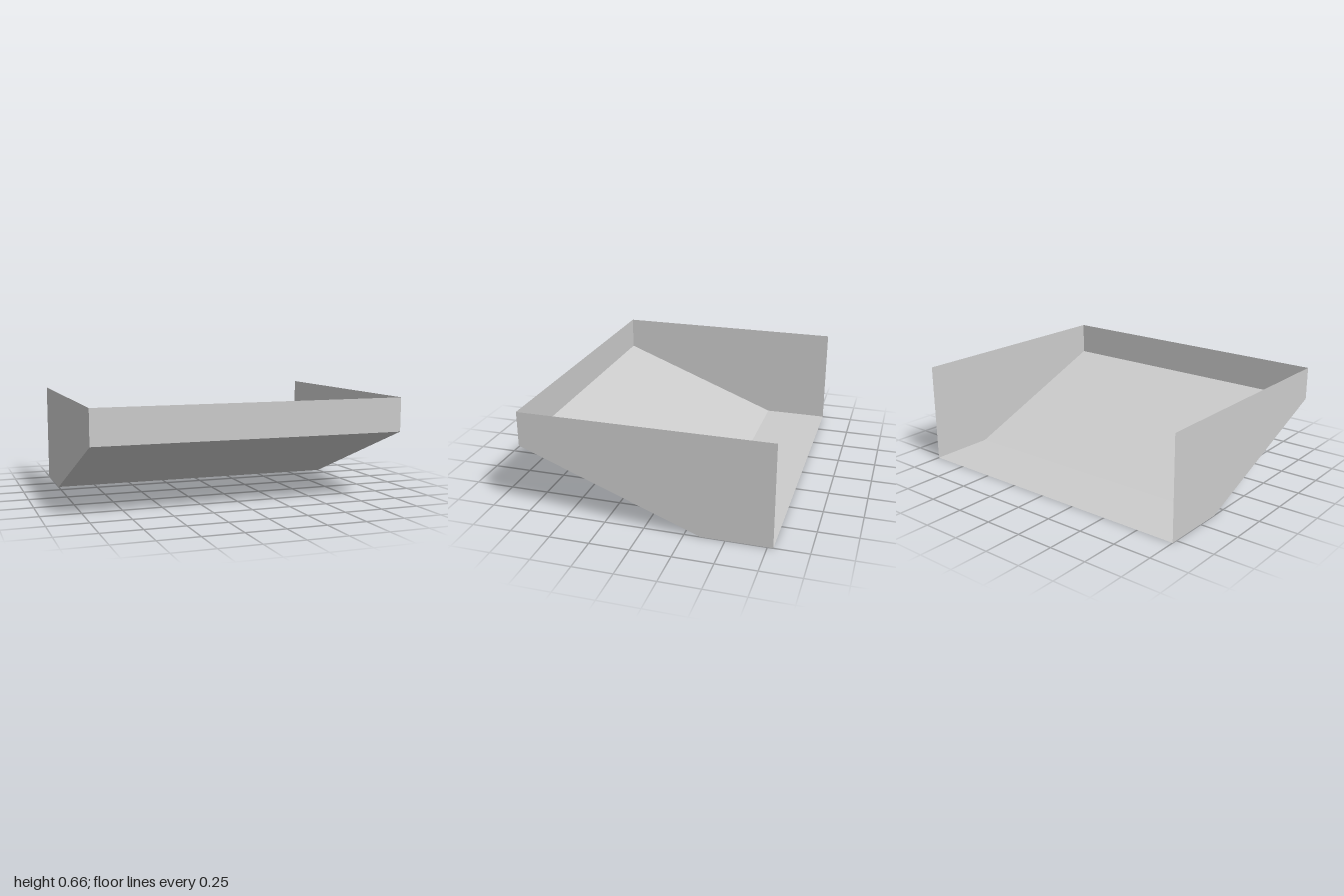
import * as THREE from 'three';

const HALF_WIDTH = 1, HALF_DEPTH = 0.785, HEIGHT = 0.66;
const LIP_Y = 0.44;   // lower edge of the front wall
const BEND_Z = -0.35; // where the sloped floor meets the flat floor

export function createModel() {
  const model = new THREE.Group();
  model.name = 'openScoop';
  const grey = new THREE.MeshStandardMaterial({ color: 0xcccccc, side: THREE.DoubleSide });
  grey.name = 'light grey';

  const add = (name, geometry) => {
    const mesh = new THREE.Mesh(geometry, grey);
    mesh.name = name;
    model.add(mesh);
    return mesh;
  };

  // Full-width sheet spanning two [z, y] profile points
  const sheet = (name, [z0, y0], [z1, y1]) => {
    const mesh = add(name, new THREE.PlaneGeometry(HALF_WIDTH * 2, Math.hypot(z1 - z0, y1 - y0)));
    mesh.position.set(0, (y0 + y1) / 2, (z0 + z1) / 2);
    mesh.rotation.x = Math.atan2(z1 - z0, y1 - y0);
  };

  // Side profile as [z, y], from the front rim down and back, then up the open rear
  const profile = [
    [HALF_DEPTH, HEIGHT], [HALF_DEPTH, LIP_Y], [BEND_Z, 0],
    [-HALF_DEPTH, 0], [-HALF_DEPTH, HEIGHT],
  ];
  ['frontWall', 'slopedFloor', 'flatFloor'].forEach((name, i) =>
    sheet(name, profile[i + 1], profile[i]));

  // Matching side walls, drawn with shape x = -z
  const sideShape = new THREE.Shape(profile.map(([z, y]) => new THREE.Vector2(-z, y)));
  for (const side of [1, -1]) {
    const wall = add(side > 0 ? 'leftWall' : 'rightWall', new THREE.ShapeGeometry(sideShape));
    wall.rotation.y = Math.PI / 2;
    wall.position.x = side * HALF_WIDTH;
  }
  return model;
}
